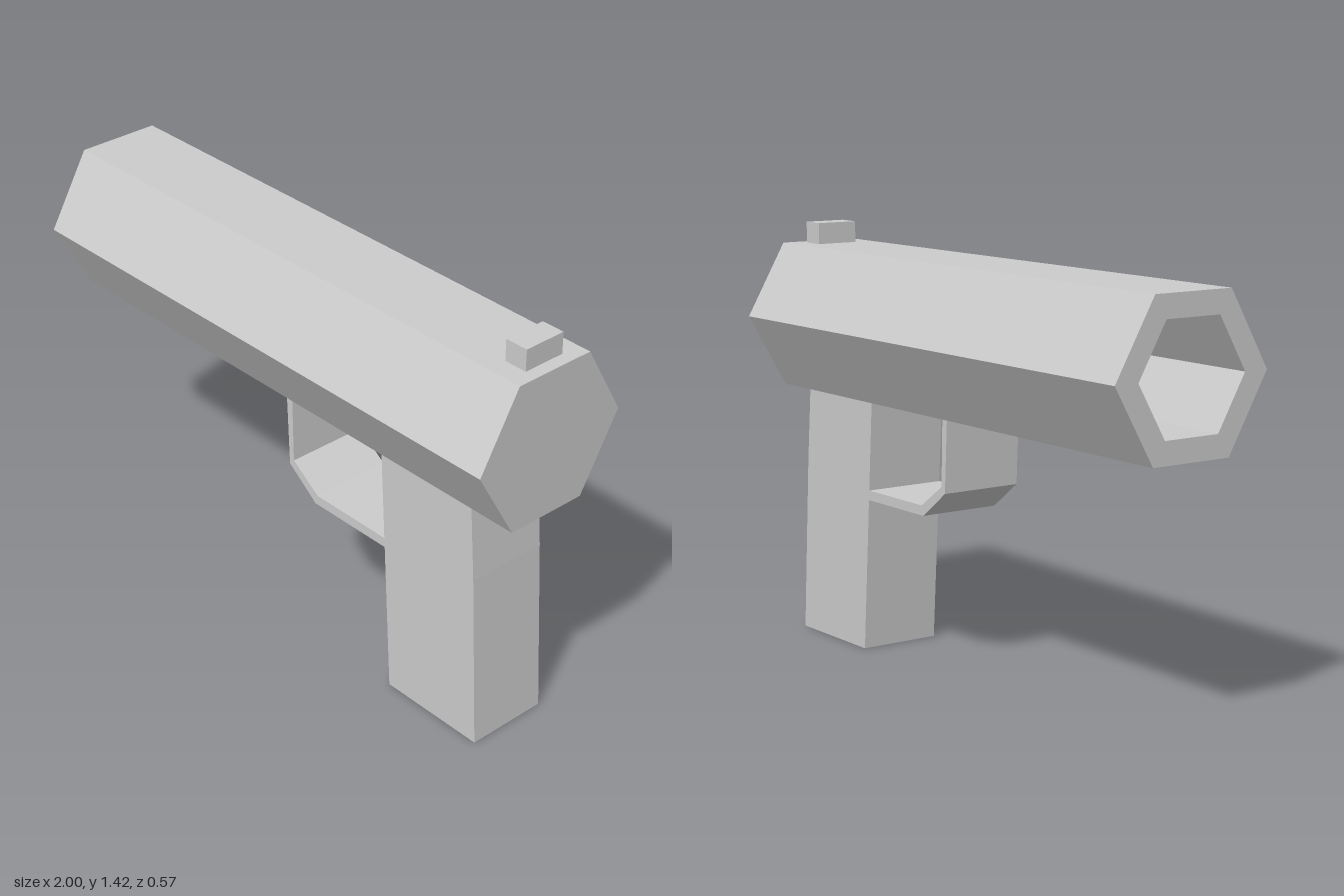
import * as THREE from 'three';

const material = new THREE.MeshStandardMaterial({ color: 0xcccccc, flatShading: true });

function addPart(group, name, geometry) {
  const mesh = new THREE.Mesh(geometry, material);
  mesh.name = name;
  group.add(mesh);
  return mesh;
}

// Side outline in x, y extruded symmetrically across z
function sidePlate(points, width) {
  const shape = new THREE.Shape(points.map(([x, y]) => new THREE.Vector2(x, y)));
  return new THREE.ExtrudeGeometry(shape, { depth: width, bevelEnabled: false })
    .translate(0, 0, -width / 2);
}

export function createModel() {
  const group = new THREE.Group();
  group.name = 'pistol';

  const radius = 0.285, boreRadius = 0.2, axisY = 1.098;
  const halfHeight = radius * Math.sqrt(3) / 2;
  const underside = axisY - halfHeight, topside = axisY + halfHeight;
  const width = radius; // flat of the hexagon, shared by grip and guard

  // Hexagonal barrel, closed at the rear with a deep bore at the muzzle
  const profile = [
    [0, -1], [radius, -1], [radius, 1], [boreRadius, 1], [boreRadius, -0.9], [0, -0.9],
  ].map(([r, y]) => new THREE.Vector2(r, y));
  const barrel = addPart(group, 'barrel', new THREE.LatheGeometry(profile, 6));
  barrel.rotation.z = Math.PI / 2;
  barrel.position.y = axisY;

  // Slanted grip
  addPart(group, 'grip', sidePlate([
    [0.505, 0], [0.89, 0], [0.855, 0.6], [0.835, underside], [0.45, underside],
  ], width));

  // Bent strip around the trigger opening
  addPart(group, 'triggerGuard', sidePlate([
    [0.015, underside], [0.027, 0.612], [0.15, 0.52], [0.475, 0.52],
    [0.475, 0.553], [0.16, 0.553], [0.046, 0.632], [0.04, underside],
  ], width));

  // Rear sight block
  const sight = addPart(group, 'rearSight', new THREE.BoxGeometry(0.08, 0.072, 0.148));
  sight.position.set(0.916, topside + 0.036, 0);

  return group;
}
